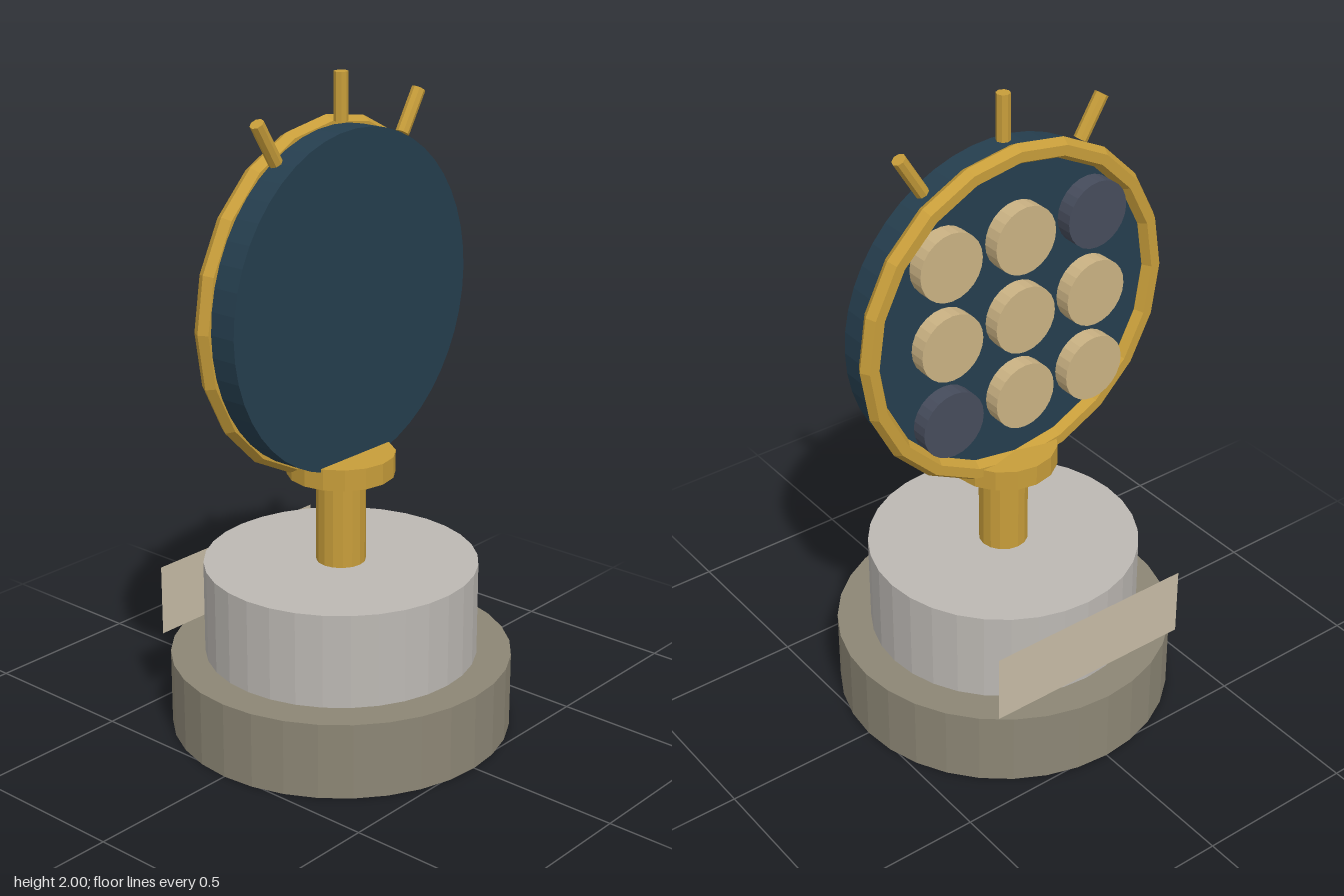
import * as THREE from 'three';

const mat = (name, color) => {
  const m = new THREE.MeshStandardMaterial({ color });
  m.name = name;
  return m;
};

// Faceted look: every face gets its own normal
const faceted = (geometry) => {
  const g = geometry.toNonIndexed();
  g.computeVertexNormals();
  return g;
};

export function createModel() {
  const model = new THREE.Group();
  model.name = 'discTrophy';

  const stone = mat('stone', 0x8c8675);
  const marble = mat('marble', 0xbcb8b3);
  const gold = mat('gold', 0xc79d3a);
  const navy = mat('navy', 0x253e4e);
  const cream = mat('cream', 0xcab283);
  const slate = mat('slate', 0x464c5c);
  const plateColor = mat('plate', 0xc6bba5);
  plateColor.side = THREE.DoubleSide;

  const add = (name, geometry, material, x = 0, y = 0, z = 0) => {
    const mesh = new THREE.Mesh(faceted(geometry), material);
    mesh.name = name;
    mesh.position.set(x, y, z);
    model.add(mesh);
    return mesh;
  };

  // Upright cylinder between two heights
  const drum = (name, r, y0, y1, sides, material) =>
    add(name, new THREE.CylinderGeometry(r, r, y1 - y0, sides), material, 0, (y0 + y1) / 2);

  // Stand
  drum('base', 0.52, 0, 0.235, 32, stone);
  drum('plinth', 0.415, 0.23, 0.525, 32, marble);
  drum('stem', 0.075, 0.52, 0.81, 16, gold);
  drum('collar', 0.163, 0.805, 0.87, 16, gold);

  // Blank plate behind the plinth
  add('namePlate', new THREE.PlaneGeometry(0.68, 0.22), plateColor, 0, 0.373, -0.429).rotation.y = Math.PI;

  // Upright disc with a rim on its back edge
  const cy = 1.34;
  add('disc', new THREE.CylinderGeometry(0.505, 0.505, 0.11, 48), navy, 0, cy, 0).rotation.x = Math.PI / 2;
  add('rim', new THREE.TorusGeometry(0.5, 0.031, 6, 20), gold, 0, cy, -0.057);

  // Grid of round buttons on the back, two of them dark
  for (let row = -1; row <= 1; row++) {
    for (let col = -1; col <= 1; col++) {
      const dark = row * col === -1;
      const button = add(dark ? 'darkButton' : 'button', new THREE.CylinderGeometry(0.104, 0.104, 0.055, 24),
        dark ? slate : cream, col * 0.254, cy + row * 0.254, -0.079);
      button.rotation.x = Math.PI / 2;
    }
  }

  // Three short rays fanned over the top
  for (const a of [-0.55, 0, 0.55]) {
    const ray = add('ray', new THREE.CylinderGeometry(0.021, 0.021, 0.14, 8), gold,
      Math.sin(a) * 0.59, cy + Math.cos(a) * 0.59, 0);
    ray.rotation.z = -a;
  }

  return model;
}
